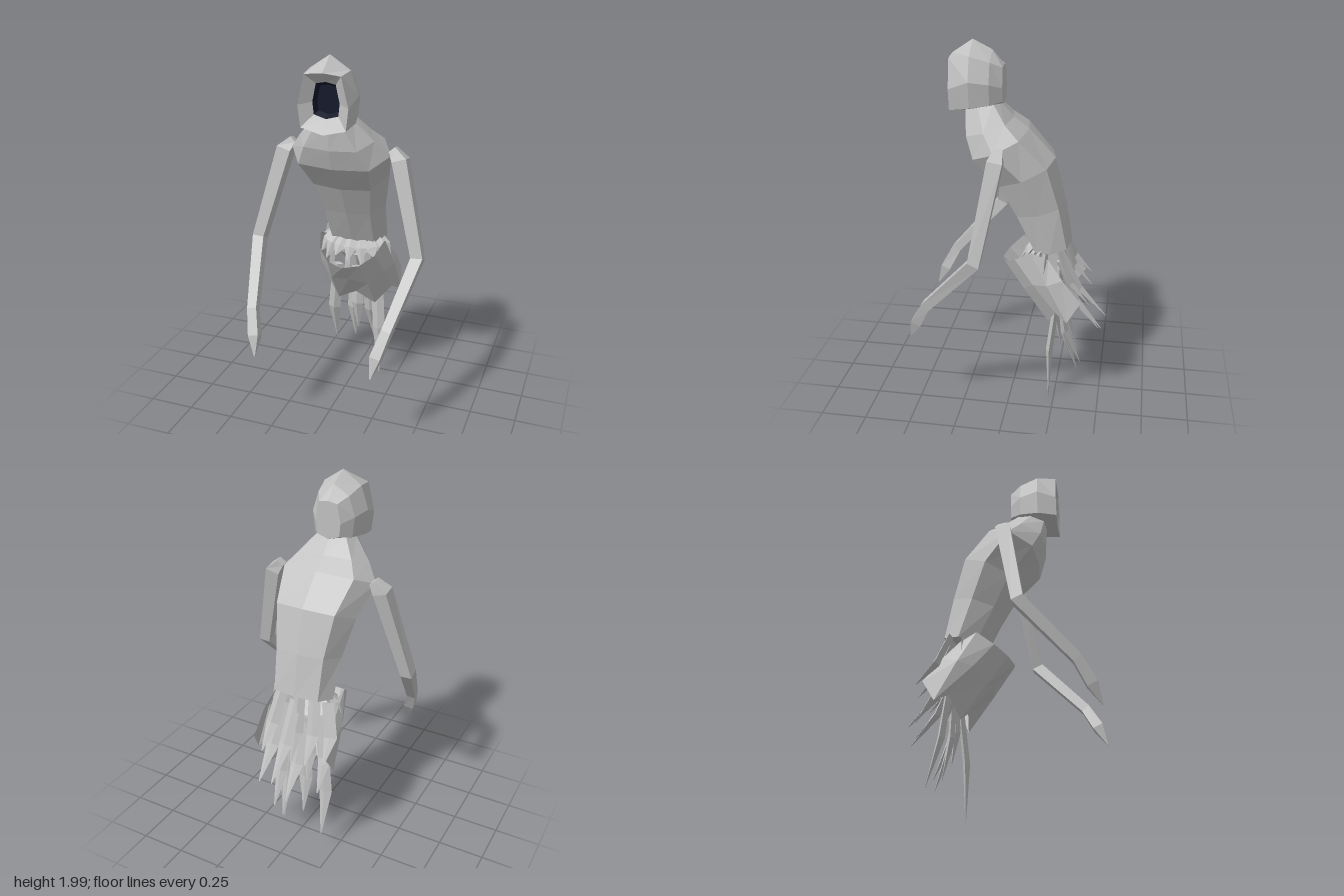
import * as THREE from 'three';

const cloth = new THREE.MeshStandardMaterial({ color: 0xc0c0c0 });
cloth.name = 'greyCloth';
const dark = new THREE.MeshStandardMaterial({ color: 0x12162a });
dark.name = 'darkFace';
for (const m of [cloth, dark]) { m.flatShading = true; m.side = THREE.DoubleSide; }

const V = (x, y, z) => new THREE.Vector3(x, y, z);

// Skin rings of points; rings run counter-clockwise about the loft direction
function loft(name, rings, { closed = true, startCap = false, endCap = false, material = cloth } = {}) {
  const pos = [];
  const tri = (...pts) => pts.forEach((p) => pos.push(p.x, p.y, p.z));
  const n = rings[0].length;
  for (let i = 0; i < rings.length - 1; i++) {
    for (let j = 0; j < (closed ? n : n - 1); j++) {
      const k = (j + 1) % n;
      const [a, b, c, d] = [rings[i][j], rings[i][k], rings[i + 1][k], rings[i + 1][j]];
      tri(a, b, c);
      tri(a, c, d);
    }
  }
  const cap = (ring, flip) => {
    const mid = ring.reduce((s, p) => s.add(p), V(0, 0, 0)).divideScalar(n);
    ring.forEach((p, j) => {
      const q = ring[(j + 1) % n];
      if (flip) tri(mid, q, p); else tri(mid, p, q);
    });
  };
  if (startCap) cap(rings[0], true);
  if (endCap) cap(rings[rings.length - 1], false);
  const g = new THREE.BufferGeometry();
  g.setAttribute('position', new THREE.Float32BufferAttribute(pos, 3));
  g.computeVertexNormals();
  const mesh = new THREE.Mesh(g, material);
  mesh.name = name;
  return mesh;
}

// Four-sided limb along a path, radius per point, optionally flattened
function limb(name, pts, radii, flat, turn) {
  const rings = pts.map((p, i) => {
    const d = pts[Math.min(i + 1, pts.length - 1)].clone().sub(pts[Math.max(i - 1, 0)]).normalize();
    const v = d.clone().cross(V(1, 0, 0)).normalize();
    const u = v.clone().cross(d);
    return [0, 1, 2, 3].map((k) => {
      const a = turn + (k * Math.PI) / 2;
      return p.clone().addScaledVector(u, radii[i] * Math.cos(a)).addScaledVector(v, radii[i] * flat * Math.sin(a));
    });
  });
  return loft(name, rings, { startCap: true, endCap: true });
}

// Leaning torso ring from front (y, z), back (y, z) and half width
function torsoRing([fy, fz, by, bz, w]) {
  const at = (x, t) => V(x * w, fy + (by - fy) * t, fz + (bz - fz) * t);
  return [at(0, 0), at(0.7, 0.06), at(1, 0.48), at(0.74, 0.9), at(0, 1), at(-0.74, 0.9), at(-1, 0.48), at(-0.7, 0.06)];
}

// Upright hood ring from top, bottom, half width, depth and how far the upper corners drop
function hoodRing([top, bottom, w, z, drop]) {
  const low = bottom + 0.1 * (top - bottom);
  const mid = (top + bottom) / 2 - 0.01;
  const side = (s) => [V(s * w * 0.72, top - drop, z), V(s * w, mid, z), V(s * w * 0.9, low, z)];
  return [V(0, top, z), ...side(-1), V(0, bottom, z), ...side(1).reverse()];
}

export function createModel() {
  const model = new THREE.Group();
  model.name = 'hoodedWraith';

  // Torso and neck
  model.add(loft('torso', [
    [0.9, -0.12, 0.94, -0.32, 0.175],
    [1.1, -0.02, 1.17, -0.28, 0.185],
    [1.27, 0.07, 1.4, -0.22, 0.225],
    [1.42, 0.2, 1.55, -0.08, 0.27],
    [1.53, 0.24, 1.61, 0, 0.2],
    [1.65, 0.25, 1.7, 0.08, 0.105],
  ].map(torsoRing), { startCap: true, endCap: true }));

  // Hood: outer shell, rim, then the funnel into the opening
  const hood = [
    [1.88, 1.68, 0.07, 0.05, 0.01],
    [1.95, 1.66, 0.12, 0.11, 0.05],
    [2, 1.64, 0.145, 0.21, 0.07],
    [1.93, 1.63, 0.13, 0.315, 0.01],
    [1.88, 1.7, 0.07, 0.27, 0.01],
  ].map(hoodRing);
  model.add(loft('hood', hood, { startCap: true }));
  const opening = hood[4];
  const inside = opening.map((p) => V(p.x * 0.8, 1.79 + (p.y - 1.79) * 0.8, 0.24));
  model.add(loft('face', [opening, inside], { endCap: true, material: dark }));

  // Long thin arms with pointed hands
  for (const s of [1, -1]) {
    const path = [V(s * 0.27, 1.51, 0.035), V(s * 0.315, 1.46, 0.045), V(s * 0.445, 0.97, 0.135),
      V(s * 0.37, 0.67, 0.41), V(s * 0.335, 0.55, 0.475), V(s * 0.32, 0.45, 0.52)];
    model.add(limb(s > 0 ? 'leftArm' : 'rightArm', path, [0.03, 0.055, 0.045, 0.036, 0.04, 0.004], 1, Math.PI / 4));
  }

  // Tilted skirt wrap with a ragged hem, open at the back
  const hem = [], bulge = [], top = [];
  for (let i = 0; i < 9; i++) {
    const a = (i - 4) / 2;
    const x = Math.sin(a), z = Math.cos(a);
    top.push(V(x * 0.19, 0.94 - 0.13 * Math.abs(z), z * 0.19 - 0.13));
    hem.push(V(x * 0.235, 0.6 - 0.08 * z + (i % 2 ? -0.045 : 0.03), z * 0.14 - 0.33));
    bulge.push(top[i].clone().lerp(hem[i], 0.45).multiply(V(1.08, 1, 1)));
  }
  model.add(loft('skirt', [hem, bulge, top], { closed: false }));

  // Torn strips: each hangs from the hips and bends towards its tip
  const tips = [
    V(-0.18, 0.12, -0.36), V(0.14, 0.01, -0.22), V(-0.04, 0.19, -0.31), V(0.06, 0.16, -0.37),
    V(0.1, 0.23, -0.39), V(-0.01, 0.27, -0.27), V(-0.19, 0.45, -0.42), V(0.03, 0.5, -0.52),
    V(0.12, 0.47, -0.5), V(-0.03, 0.38, -0.48), V(-0.12, 0.61, -0.43), V(0.14, 0.62, -0.43),
    V(0, 0.55, -0.37), V(-0.225, 0.64, -0.42), V(0.04, 0.4, -0.3), V(-0.07, 0.42, -0.32),
  ];
  tips.forEach((tip, i) => {
    const root = V(tip.x * 0.75, Math.max(0.68, Math.min(tip.y + 0.38, 0.92)), -0.26);
    const bend = root.clone().lerp(tip, 0.5).add(V(tip.x * 0.08, -0.03, 0.02));
    model.add(limb(`tatter${i + 1}`, [root, bend, tip], [0.035, 0.038, 0.003], 0.5, 0));
  });

  // Short ragged points hanging round the waist
  for (let i = 0; i < 9; i++) {
    const a = (i - 4) * 0.375;
    const rag = (r, y) => V(Math.sin(a) * (r + 0.05), y, Math.cos(a) * r - 0.2);
    const path = [rag(0.09, 0.91), rag(0.12, 0.875), rag(0.16, 0.83 - 0.02 * (i % 3))];
    model.add(limb(`waistRag${i + 1}`, path, [0.03, 0.035, 0.003], 0.4, 0));
  }
  return model;
}
